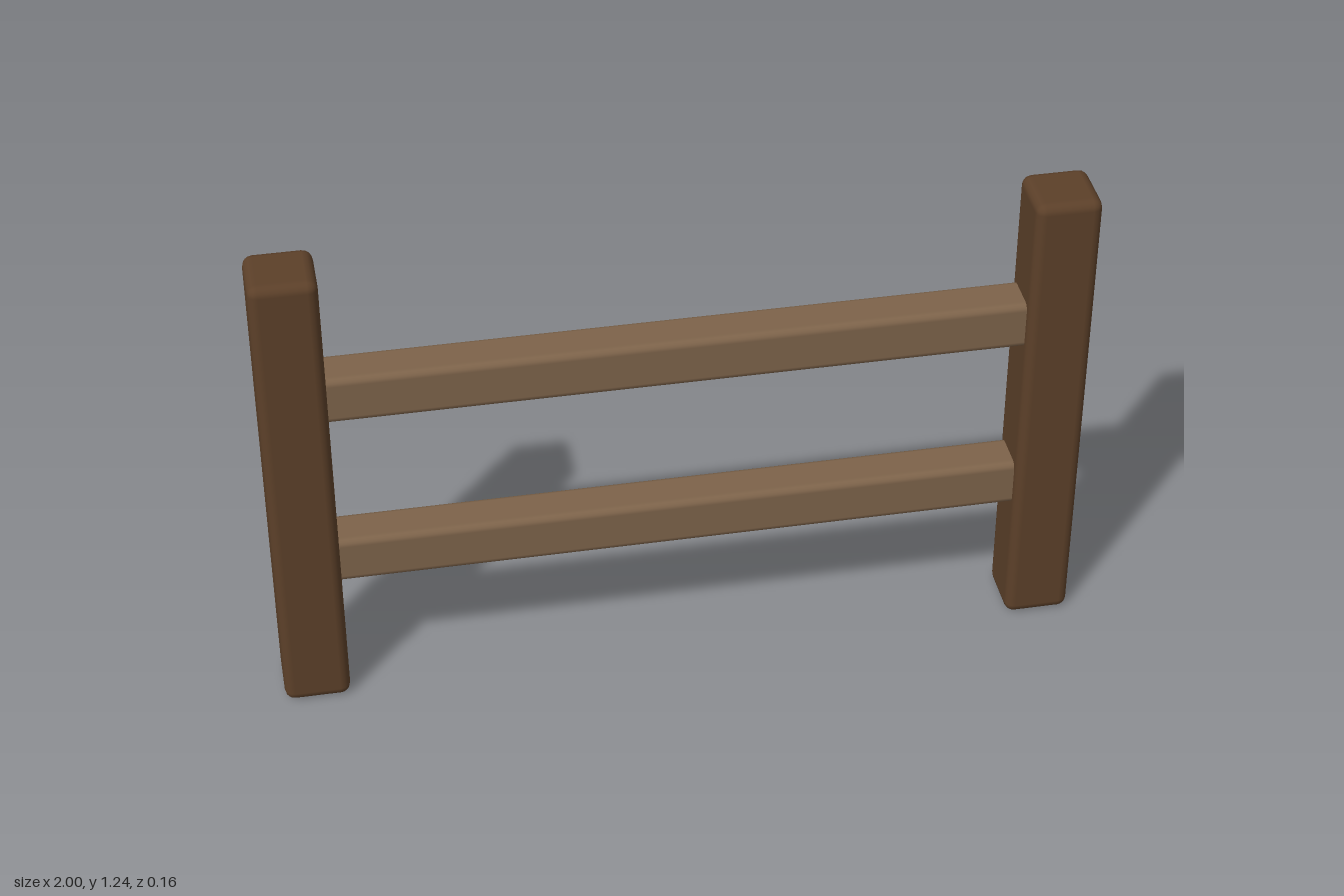
import * as THREE from 'three';
import { RoundedBoxGeometry } from 'three/addons/geometries/RoundedBoxGeometry.js';

const POST = { width: 0.162, height: 1.24, radius: 0.025 };
const RAIL = { height: 0.125, depth: 0.112, radius: 0.018 };

export function createModel() {
  const fence = new THREE.Group();
  fence.name = 'fence';

  const darkWood = new THREE.MeshStandardMaterial({ color: 0x5c4029 });
  const lightWood = new THREE.MeshStandardMaterial({ color: 0x7d634a });

  const add = (name, geometry, material, x, y) => {
    const mesh = new THREE.Mesh(geometry, material);
    mesh.name = name;
    mesh.position.set(x, y, 0);
    fence.add(mesh);
  };

  // Two square posts with softened edges
  const postX = 1 - POST.width / 2;
  const postGeometry = new RoundedBoxGeometry(POST.width, POST.height, POST.width, 2, POST.radius);
  add('leftPost', postGeometry, darkWood, postX, POST.height / 2);
  add('rightPost', postGeometry, darkWood, -postX, POST.height / 2);

  // Two rails, their ends let into the posts
  const railGeometry = new RoundedBoxGeometry(postX * 2, RAIL.height, RAIL.depth, 2, RAIL.radius);
  add('lowerRail', railGeometry, lightWood, 0, 0.407);
  add('upperRail', railGeometry, lightWood, 0, 0.886);

  return fence;
}
